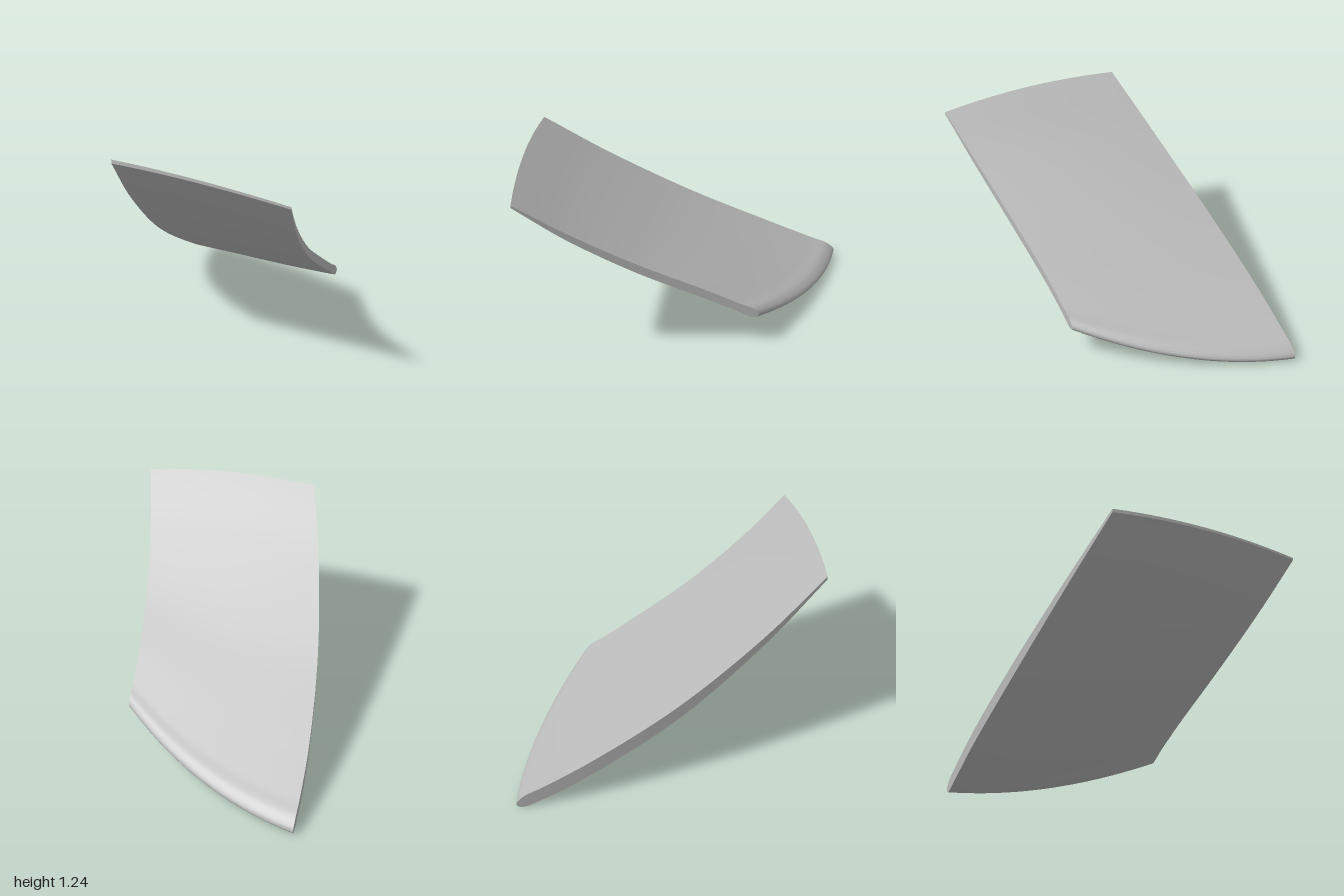
import * as THREE from 'three';
import { toCreasedNormals } from 'three/addons/utils/BufferGeometryUtils.js';

// Section outlines (x, y): top side from the thin edge to the round edge, then back along the underside
const frontSection = [
  [-0.89, 1.13], [-0.6, 0.9], [-0.2, 0.635], [0.2, 0.42], [0.44, 0.293], [0.53, 0.25], [0.56, 0.212],
  [0.535, 0.187], [0.4, 0.253], [0.2, 0.357], [-0.2, 0.575], [-0.6, 0.855], [-0.89, 1.115],
];
const backSection = [
  [-1, 1.24], [-0.6, 0.93], [-0.05, 0.575], [0.5, 0.292], [0.83, 0.142], [0.95, 0.09], [1, 0.035],
  [0.97, 0.002], [0.8, 0.052], [0.5, 0.185], [-0.05, 0.475], [-0.6, 0.87], [-1, 1.215],
];

const AROUND = 96; // steps around a section
const ALONG = 20; // steps from front end to back end

// Both end faces follow the same curved sweep in plan
const sweep = (x, z0) => z0 - 0.349 * x + 0.096 * x * x;

function sectionPoints(section, z0) {
  const pts = section.map(([x, y]) => new THREE.Vector3(x, y, sweep(x, z0)));
  return new THREE.CatmullRomCurve3(pts, false, 'centripetal').getPoints(AROUND);
}

function bladeGeometry() {
  const front = sectionPoints(frontSection, 0.575);
  const back = sectionPoints(backSection, -0.712);
  const n = AROUND + 1;
  const positions = [];
  const index = [];

  // Loft between the ends, bowing each edge outwards in the middle
  for (let j = 0; j <= ALONG; j++) {
    const t = j / ALONG;
    const bow = 4 * t * (1 - t);
    for (let i = 0; i < n; i++) {
      const p = front[i].clone().lerp(back[i], t);
      const chord = (front[i].x + 0.89) / 1.45;
      p.x += bow * (-0.03 + 0.12 * chord);
      p.y += bow * (0.027 - 0.077 * chord);
      positions.push(p.x, p.y, p.z);
    }
  }

  // Skin, including the narrow thin edge that closes the loop
  for (let j = 0; j < ALONG; j++) {
    for (let i = 0; i < n; i++) {
      const k = (i + 1) % n;
      const a = j * n + i, b = j * n + k, c = a + n, d = b + n;
      index.push(a, b, c, b, d, c);
    }
  }

  // End faces, bridging the top side to the underside
  const last = ALONG * n;
  for (let i = 0; i < AROUND / 2; i++) {
    const a = i, b = i + 1, c = AROUND - i, d = AROUND - i - 1;
    index.push(a, c, b);
    index.push(last + a, last + b, last + c);
    if (b !== d) {
      index.push(b, c, d);
      index.push(last + b, last + d, last + c);
    }
  }

  const geometry = new THREE.BufferGeometry();
  geometry.setAttribute('position', new THREE.Float32BufferAttribute(positions, 3));
  geometry.setIndex(index);
  return toCreasedNormals(geometry, 0.6);
}

export function createModel() {
  const group = new THREE.Group();
  group.name = 'curvedBlade';
  const metal = new THREE.MeshStandardMaterial({ color: 0xb8b8b8 });
  metal.name = 'light grey';
  const blade = new THREE.Mesh(bladeGeometry(), metal);
  blade.name = 'blade';
  group.add(blade);
  return group;
}
